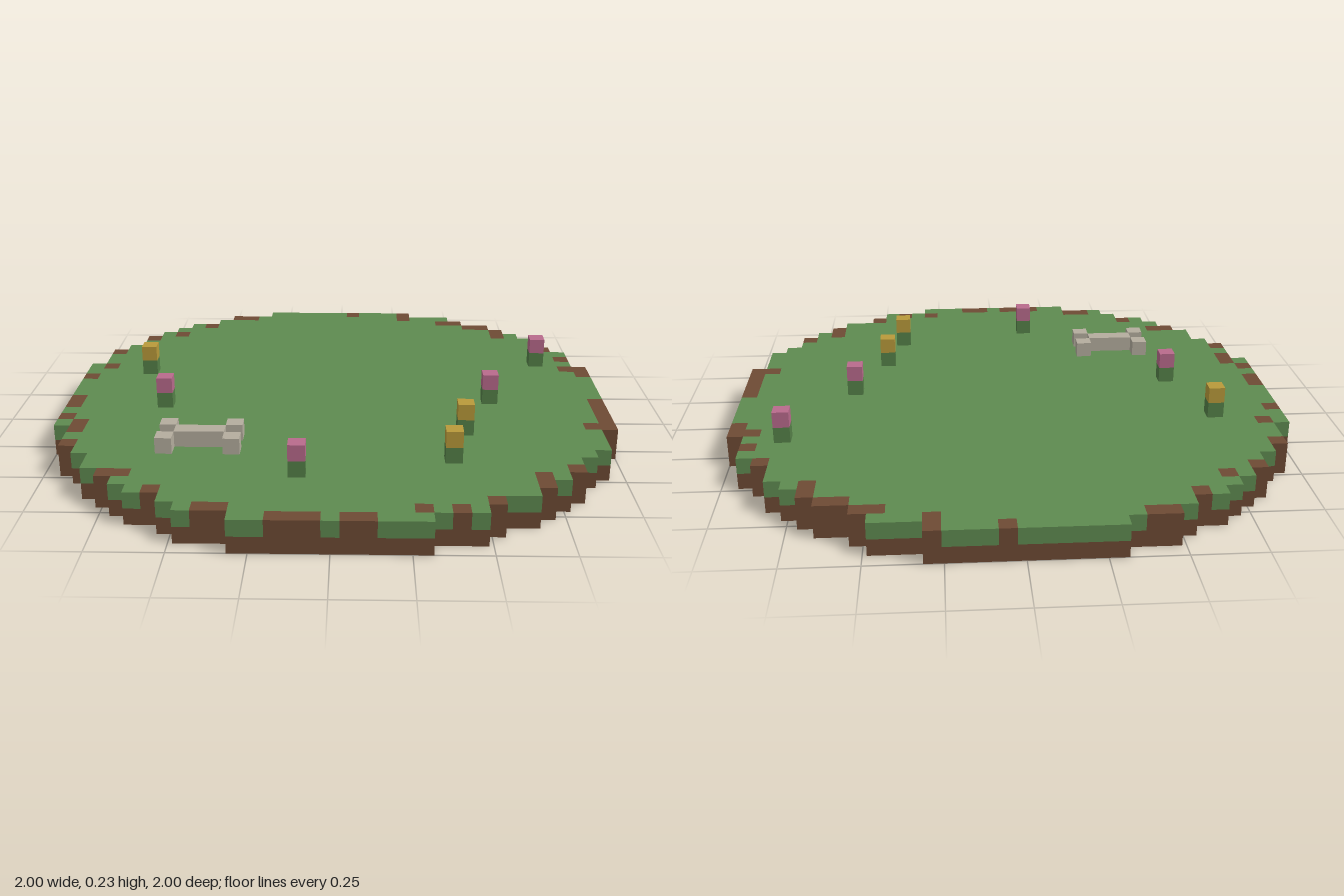
import * as THREE from 'three';
import { mergeGeometries } from 'three/addons/utils/BufferGeometryUtils.js';

const N = 35;          // cells across the island
const V = 2 / N;       // size of one cube
const MID = (N - 1) / 2;

const material = (name, color) => new THREE.MeshStandardMaterial({ name, color });

// One cube face for each direction, pushed out half a cube
const H = Math.PI / 2;
const FACES = [
  [1, 0, 0, 0, H], [-1, 0, 0, 0, -H],
  [0, 1, 0, -H, 0], [0, -1, 0, H, 0],
  [0, 0, 1, 0, 0], [0, 0, -1, 0, Math.PI],
].map(([x, y, z, rx, ry]) => ({
  d: [x, y, z],
  geo: new THREE.PlaneGeometry(V, V).rotateX(rx).rotateY(ry)
    .translate(x * V / 2, y * V / 2, z * V / 2),
}));

const key = (i, y, j) => `${i},${y},${j}`;

// Ragged bare soil on the rim: [column, row, columns wide, rows deep]
const BARE = [
  [18, 0, 1, 1], [22, 0, 1, 2], [9, 1, 2, 1], [25, 2, 2, 1], [7, 3, 1, 1],
  [27, 3, 2, 1], [29, 4, 1, 2], [5, 5, 1, 1], [3, 6, 1, 1], [32, 8, 1, 1],
  [1, 9, 1, 1], [33, 10, 1, 1], [1, 12, 1, 1], [33, 12, 2, 1], [34, 13, 1, 1],
  [0, 14, 1, 1], [0, 18, 1, 2], [34, 18, 1, 5], [33, 22, 1, 1], [0, 21, 1, 1],
  [1, 22, 1, 2], [1, 25, 1, 1], [31, 28, 1, 1], [4, 29, 2, 1], [29, 29, 1, 2],
  [7, 31, 1, 1], [26, 32, 1, 1], [10, 33, 2, 1], [22, 33, 1, 1], [24, 33, 1, 1],
  [14, 34, 3, 1], [18, 34, 2, 1],
];
const isBare = (i, j) => BARE.some(([a, b, w, d]) => i >= a && i < a + w && j >= b && j < b + d);

const PINK = [[6, 19], [31, 11], [27, 18], [15, 29]];
const YELLOW = [[4, 13], [25, 23], [24, 27]];

export function createModel() {
  const group = new THREE.Group();
  group.name = 'meadowIsland';

  const soil = material('soil brown', 0x6e4a34);
  const grass = material('grass green', 0x5e8a50);
  const stem = material('stem green', 0x558048);
  const pink = material('petal pink', 0xb86a8c);
  const yellow = material('petal yellow', 0xb89a3a);
  const bone = material('bone grey', 0xb4ad9e);

  const parts = [];
  const solid = new Set();
  const addPart = (name, mat, cells) => {
    cells.forEach((c) => solid.add(key(...c)));
    parts.push({ name, mat, cells });
  };

  // Round two-layer island: soil below, grass above with bare patches
  const soilCells = [], grassCells = [];
  for (let i = 0; i < N; i++) {
    for (let j = 0; j < N; j++) {
      if ((i - MID) ** 2 + (j - MID) ** 2 > 322) continue;
      soilCells.push([i, 0, j]);
      (isBare(i, j) ? soilCells : grassCells).push([i, 1, j]);
    }
  }
  addPart('soil', soil, soilCells);
  addPart('grass', grass, grassCells);

  // Flowers: a stem cube with a petal cube on top
  for (const [label, mat, spots] of [['pink', pink, PINK], ['yellow', yellow, YELLOW]]) {
    spots.forEach(([i, j], n) => {
      addPart(`${label}FlowerStem${n + 1}`, stem, [[i, 2, j]]);
      addPart(`${label}FlowerHead${n + 1}`, mat, [[i, 3, j]]);
    });
  }

  // Bone: a shaft with a pair of knobs at each end
  addPart('boneShaft', bone, [8, 9, 10].map((i) => [i, 2, 25]));
  addPart('boneKnobs', bone, [[7, 2, 24], [7, 2, 26], [11, 2, 24], [11, 2, 26]]);

  // Mesh each part from its exposed cube faces
  for (const { name, mat, cells } of parts) {
    const quads = [];
    for (const [i, y, j] of cells) {
      for (const { d, geo } of FACES) {
        if (solid.has(key(i + d[0], y + d[1], j + d[2]))) continue;
        quads.push(geo.clone().translate((i - MID) * V, (y + 0.5) * V, (j - MID) * V));
      }
    }
    const mesh = new THREE.Mesh(mergeGeometries(quads), mat);
    mesh.name = name;
    group.add(mesh);
  }
  return group;
}
